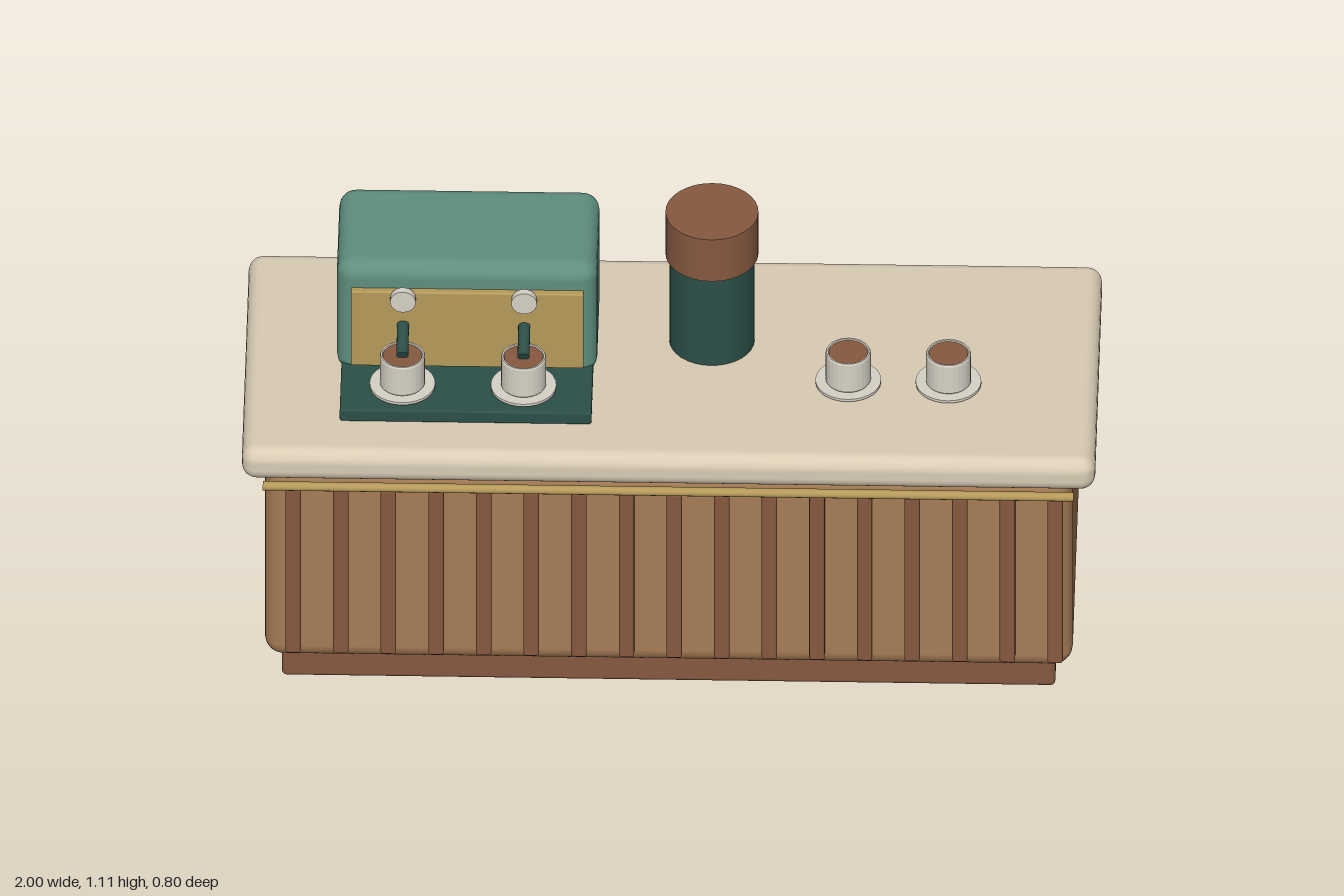
import * as THREE from 'three';
import { RoundedBoxGeometry } from 'three/addons/geometries/RoundedBoxGeometry.js';

const mat = (color, side = THREE.FrontSide) => new THREE.MeshStandardMaterial({ color, side });
const wood = mat(0xa67c55);
const darkWood = mat(0x86593f);
const stone = mat(0xd9ccb5);
const green = mat(0x5f8f80);
const darkGreen = mat(0x2c4f48);
const brass = mat(0xb59a5a);
const china = mat(0xd8d2c6);

export function createModel() {
  const model = new THREE.Group();

  const add = (name, geometry, material, x = 0, y = 0, z = 0, parent = model) => {
    const mesh = new THREE.Mesh(geometry, material);
    mesh.name = name;
    mesh.position.set(x, y, z);
    parent.add(mesh);
    return mesh;
  };

  // Rounded box given by its limits on each axis
  const box = (name, material, [x0, x1], [y0, y1], [z0, z1], radius) =>
    add(name, new RoundedBoxGeometry(x1 - x0, y1 - y0, z1 - z0, 3, radius), material,
      (x0 + x1) / 2, (y0 + y1) / 2, (z0 + z1) / 2);

  // Upright cylinder standing on height y0
  const drum = (name, material, r, y0, y1, x, z) =>
    add(name, new THREE.CylinderGeometry(r, r, y1 - y0, 32), material, x, (y0 + y1) / 2, z);

  // Counter
  box('plinth', darkWood, [-0.908, 0.905], [0, 0.085], [-0.302, 0.283], 0.012);
  box('counterBody', wood, [-0.948, 0.946], [0.077, 0.645], [-0.344, 0.322], 0.045);
  box('countertop', stone, [-1, 1], [0.645, 0.734], [-0.4, 0.379], 0.035);

  // Vertical slats along the front
  for (let i = 0; i < 17; i++) {
    const x = -0.88 + i * 0.1116;
    box('frontSlat', darkWood, [x - 0.018, x + 0.018], [0.118, 0.603], [0.312, 0.347], 0.006);
  }

  // Brass rail under the countertop edge, open at the ends
  const rail = add('brassRail', new THREE.CylinderGeometry(0.011, 0.011, 1.9, 12, 1, true),
    brass, 0, 0.646, 0.389);
  rail.rotation.z = Math.PI / 2;

  // Coffee machine
  box('machineBody', green, [-0.784, -0.174], [0.734, 1.06], [-0.241, 0.078], 0.04);
  box('machinePanel', brass, [-0.75, -0.205], [0.777, 0.996], [0.066, 0.094], 0.004);
  box('dripTray', darkGreen, [-0.773, -0.183], [0.733, 0.768], [0.05, 0.252], 0.006);

  // Cup with bevelled rim, coffee and saucer
  const cupProfile = [[0, 0], [0.05, 0], [0.053, 0.004], [0.053, 0.081], [0.051, 0.085],
    [0.047, 0.085], [0.045, 0.078]].map(([r, y]) => new THREE.Vector2(r, y));
  const saucerProfile = [[0, 0], [0.068, 0], [0.077, 0.005], [0.077, 0.012], [0, 0.012]]
    .map(([r, y]) => new THREE.Vector2(r, y));
  // Repeated points keep each band's edges sharp
  const lathe = (profile) => new THREE.LatheGeometry(profile, 28).toNonIndexed();
  const facetBands = (profile) => {
    const geometry = lathe(profile);
    geometry.computeVertexNormals();
    return geometry;
  };
  const cupGeometry = facetBands(cupProfile);
  const saucerGeometry = facetBands(saucerProfile);
  const addCup = (x, y, z) => {
    const cup = new THREE.Group();
    cup.name = 'cupAndSaucer';
    cup.position.set(x, y, z);
    model.add(cup);
    add('saucer', saucerGeometry, china, 0, 0, 0, cup);
    add('cup', cupGeometry, china, 0, 0.011, 0, cup);
    add('coffee', new THREE.CylinderGeometry(0.0455, 0.0455, 0.006, 28), darkWood, 0, 0.09, 0, cup);
  };

  // Two brewing stations: dial, handle and cup
  for (const x of [-0.628, -0.344]) {
    const dial = add('dial', new THREE.CylinderGeometry(0.03, 0.03, 0.018, 24), china, x, 0.98, 0.102);
    dial.rotation.x = Math.PI / 2;
    const handle = add('brewHandle', new THREE.CylinderGeometry(0.014, 0.014, 0.085, 16), darkGreen,
      x, 0.886, 0.132);
    handle.rotation.x = Math.PI / 2 + 0.38;
    addCup(x, 0.768, 0.16);
  }

  // Cups on the counter
  for (const x of [0.415, 0.65]) addCup(x, 0.734, 0.08);

  // Canister with lid
  drum('canister', darkGreen, 0.1, 0.733, 0.995, 0.092, -0.081);
  drum('canisterLid', darkWood, 0.109, 0.99, 1.113, 0.092, -0.081);

  return model;
}
